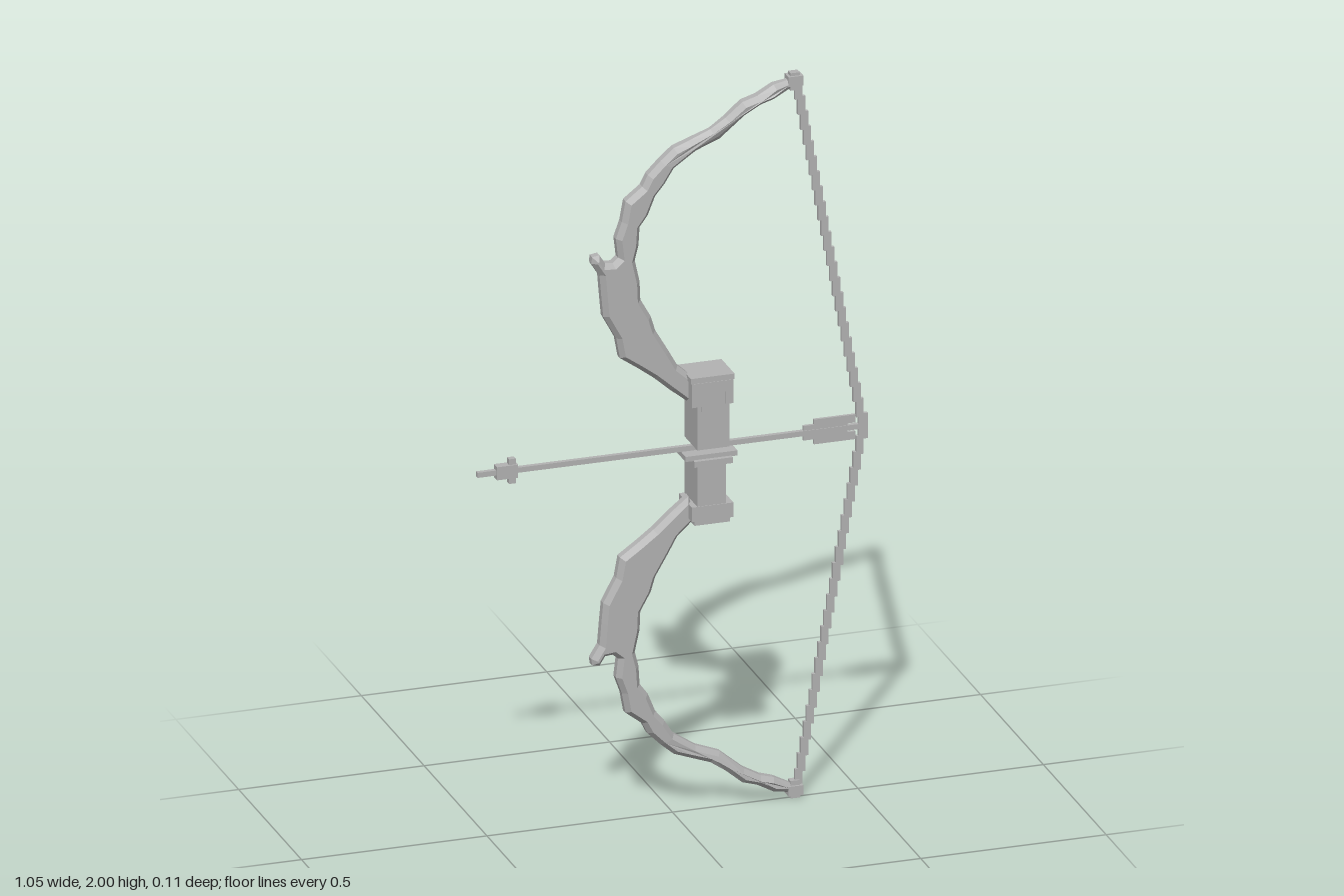
import * as THREE from 'three';

const grey = new THREE.MeshStandardMaterial({ color: 0xb2b2b2 });
grey.name = 'plain grey';

// Box given by its x and y limits and its half depth in z
function block(parent, name, x0, x1, y0, y1, halfZ) {
  const mesh = new THREE.Mesh(new THREE.BoxGeometry(x1 - x0, y1 - y0, halfZ * 2), grey);
  mesh.position.set((x0 + x1) / 2, (y0 + y1) / 2, 0);
  mesh.name = name;
  parent.add(mesh);
  return mesh;
}

// Outline of one limb: up the outer edge with its hooked spur, back down the inner edge
const limbOutline = [
  [0.04, 1.13], [-0.01, 1.17], [-0.055, 1.21], [-0.095, 1.24], [-0.145, 1.275], [-0.155, 1.33],
  [-0.19, 1.395], [-0.195, 1.45], [-0.2, 1.51], [-0.222, 1.545], [-0.22, 1.563], [-0.2, 1.566],
  [-0.185, 1.542], [-0.165, 1.54], [-0.15, 1.553], [-0.156, 1.605], [-0.14, 1.65], [-0.13, 1.705],
  [-0.085, 1.74], [-0.07, 1.77], [-0.035, 1.805], [0.0, 1.835], [0.04, 1.85], [0.1, 1.873],
  [0.14, 1.9], [0.185, 1.938], [0.225, 1.95], [0.27, 1.975], [0.325, 1.985],
  [0.325, 1.963], [0.27, 1.935], [0.235, 1.925], [0.19, 1.9], [0.125, 1.845], [0.06, 1.82],
  [0.0, 1.78], [-0.025, 1.74], [-0.05, 1.71], [-0.07, 1.66], [-0.092, 1.63], [-0.095, 1.58],
  [-0.105, 1.54], [-0.092, 1.48], [-0.09, 1.43], [-0.062, 1.38], [-0.05, 1.34], [-0.015, 1.28],
  [0.01, 1.235], [0.06, 1.19],
];

function limbGeometry() {
  const shape = new THREE.Shape(limbOutline.map(([x, y]) => new THREE.Vector2(x, y)));
  const geo = new THREE.ExtrudeGeometry(shape, {
    depth: 0.02, bevelEnabled: true, bevelSegments: 1,
    bevelSize: 0.012, bevelOffset: -0.012, bevelThickness: 0.016,
  });
  geo.translate(0, 0, -0.01);
  // Waist near the top of the limb, and a taper at its tip
  const p = geo.attributes.position;
  for (let i = 0; i < p.count; i++) {
    const x = p.getX(i), y = p.getY(i);
    let s = 1;
    if (y > 1.75) {
      s = 1 - 0.4 * Math.max(0, 1 - Math.abs(x - 0.1) / 0.07);
      if (x > 0.26) s = 1 - 0.5 * Math.min(1, (x - 0.26) / 0.06);
    }
    p.setZ(i, p.getZ(i) * s);
  }
  geo.computeVertexNormals();
  return geo;
}

// Limb, tip and half of the drawn string
function bowHalf(name) {
  const half = new THREE.Group();
  half.name = name;
  const limb = new THREE.Mesh(limbGeometry(), grey);
  limb.name = 'limb';
  half.add(limb);

  block(half, 'limbTip', 0.315, 0.34, 1.952, 2.0, 0.01);
  block(half, 'tipCollar', 0.308, 0.348, 1.965, 1.992, 0.016);

  // Stepped string
  const steps = 22, top = 1.97, bottom = 1.03;
  const dy = (top - bottom) / steps;
  for (let i = 0; i < steps; i++) {
    const x = 0.335 + 0.173 * (i + 0.5) / steps;
    const y = top - i * dy;
    block(half, 'stringStep', x - 0.01, x + 0.01, y - dy - 0.004, y + 0.004, 0.005);
  }
  block(half, 'stringLoop', 0.5, 0.525, 0.995, 1.035, 0.005);
  return half;
}

function grip() {
  const g = new THREE.Group();
  g.name = 'grip';
  // Upper half, with a cap and stepped trim
  block(g, 'upperGrip', 0.05, 0.137, 1.01, 1.2, 0.05);
  block(g, 'upperCap', 0.032, 0.15, 1.195, 1.21, 0.052);
  const trim = [
    [0.035, 0.147, 1.165, 1.195], [0.035, 0.062, 1.13, 1.165],
    [0.062, 0.09, 1.115, 1.165], [0.09, 0.115, 1.14, 1.165], [0.125, 0.147, 1.13, 1.165],
  ];
  for (const [x0, x1, y0, y1] of trim) block(g, 'capTrim', x0, x1, y0, y1, 0.0535);

  // Arrow rest between the halves
  block(g, 'arrowRest', 0.022, 0.162, 0.978, 0.992, 0.04);
  block(g, 'restCollar', 0.042, 0.145, 0.964, 0.98, 0.052);

  // Lower half and its base
  block(g, 'lowerGrip', 0.05, 0.128, 0.84, 0.975, 0.05);
  block(g, 'baseCollar', 0.035, 0.147, 0.815, 0.855, 0.052);
  block(g, 'baseFoot', 0.045, 0.14, 0.8, 0.83, 0.043);
  return g;
}

function arrow() {
  const g = new THREE.Group();
  g.name = 'arrow';
  block(g, 'shaft', -0.527, 0.5, 0.993, 1.007, 0.006);
  // Head
  block(g, 'arrowHead', -0.477, -0.42, 0.982, 1.018, 0.012);
  block(g, 'headBarb', -0.443, -0.425, 0.966, 1.034, 0.008);
  // Flat stepped vanes with a notch for the string
  block(g, 'vaneFront', 0.352, 0.39, 0.98, 1.02, 0.004);
  block(g, 'vane', 0.38, 0.47, 0.966, 1.034, 0.004);
  for (const s of [-1, 1]) {
    const y = 1 + s * 0.023;
    block(g, 'vaneEnd', 0.465, 0.492, y - 0.011, y + 0.011, 0.004);
  }
  return g;
}

export function createModel() {
  const model = new THREE.Group();
  model.name = 'bowAndArrow';
  const lower = bowHalf('lowerHalf');
  lower.rotation.x = Math.PI;
  lower.position.y = 2;
  model.add(bowHalf('upperHalf'), lower, grip(), arrow());
  return model;
}
